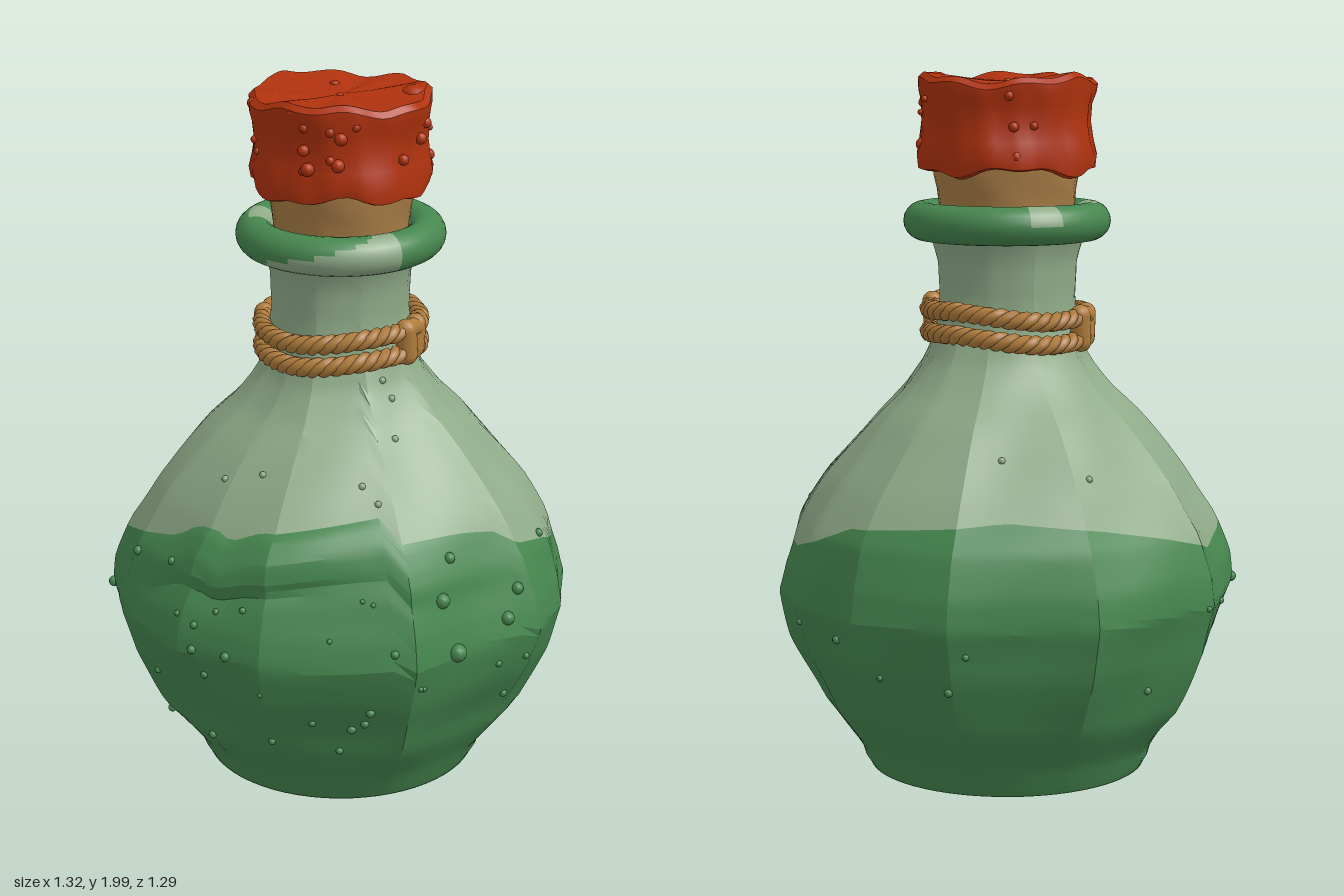
import * as THREE from 'three';
import { mergeGeometries, toCreasedNormals } from 'three/addons/utils/BufferGeometryUtils.js';

const { sin, cos, PI } = Math;
const RAD = PI / 180;
const clamp = THREE.MathUtils.clamp;

function material(name, color, side = THREE.FrontSide) {
  const m = new THREE.MeshStandardMaterial({ color, side });
  m.name = name;
  return m;
}

// Linear lookup in a list of [key, value] pairs
function lookup(table, k) {
  let i = 1;
  while (i < table.length - 1 && table[i][0] < k) i++;
  const [k0, v0] = table[i - 1], [k1, v1] = table[i];
  return v0 + (v1 - v0) * clamp((k - k0) / (k1 - k0), 0, 1);
}

// Bottle silhouette: height, radius
const PROFILE = [[0, 0.395], [0.015, 0.412], [0.05, 0.418], [0.09, 0.445], [0.2, 0.535], [0.38, 0.62],
  [0.52, 0.662], [0.6, 0.648], [0.72, 0.605], [0.85, 0.525], [0.93, 0.46], [1.02, 0.38], [1.1, 0.295],
  [1.18, 0.235], [1.26, 0.205], [1.36, 0.194], [1.46, 0.198], [1.52, 0.215], [1.56, 0.235]];
// How strongly the faceted outline shows at each height
const FACET = [[0, 0], [0.08, 0.2], [0.25, 1], [0.95, 1], [1.25, 0.6], [1.5, 0.3], [1.56, 0]];
// Facet corners, degrees from the front towards +x
const CORNERS = [-63, -36, -13, 25, 64, 80, 100, 118, 142, 168, 204, 243.5, 279, 297];
// Liquid level around the bottle: degrees, height
const LEVEL = [[-63, 0.75], [-50, 0.78], [-42, 0.83], [-34, 0.84], [-28, 0.82], [-18, 0.86], [0, 0.88], [20, 0.9],
  [25, 0.84], [45, 0.83], [58, 0.81], [65, 0.76], [78, 0.73], [90, 0.68], [105, 0.66], [120, 0.7], [135, 0.76],
  [160, 0.78], [182, 0.8], [205, 0.78], [230, 0.73], [255, 0.66], [275, 0.68], [290, 0.73], [297, 0.75]];

const wrap = (d) => ((((d + 63) % 360) + 360) % 360) - 63;
const level = (d) => lookup(LEVEL, wrap(d));

function bodyRadius(deg, y) {
  const d = wrap(deg);
  let i = 1;
  while (i < CORNERS.length - 1 && CORNERS[i] < d) i++;
  const half = (CORNERS[i] - CORNERS[i - 1]) / 2, mid = CORNERS[i - 1] + half;
  const poly = cos(half * RAD) / cos((d - mid) * RAD);
  const k = lookup(FACET, y), a = d * RAD;
  const dents = 0.008 * k * (sin(3 * a + 9 * y) * cos(2 * a - 7 * y) + 0.6 * sin(7 * a - 13 * y + 1));
  let r = lookup(PROFILE, y) * (1 + (poly - 1) * k) + dents;
  // Liquid swells into a crest with a groove under it, across the front
  const below = level(d) - y;
  if (below > 0) {
    const front = Math.exp(-(((d + 15) / 34) ** 2));
    r += front * lookup([[0, 0], [0.015, 0.02], [0.07, 0.034], [0.12, 0.015], [0.15, -0.012], [0.19, 0]], below);
  }
  return r;
}

function surfacePoint(deg, y, lift = 0) {
  const r = bodyRadius(deg, y) + lift;
  return [r * sin(deg * RAD), y, r * cos(deg * RAD)];
}

// Closed skin around the y axis between two heights given per angle
function skin(rows, heightAt, crease) {
  const cols = [], pos = [], idx = [], sub = 7;
  for (let i = 1; i < CORNERS.length; i++)
    for (let s = 0; s < sub; s++) cols.push(CORNERS[i - 1] + ((CORNERS[i] - CORNERS[i - 1]) * s) / sub);
  const n = cols.length;
  for (let j = 0; j <= rows; j++) for (const d of cols) pos.push(...surfacePoint(d, heightAt(d, j / rows)));
  for (let j = 0; j < rows; j++)
    for (let i = 0; i < n; i++) {
      const a = j * n + i, b = j * n + ((i + 1) % n);
      idx.push(a, b, a + n, b, b + n, a + n);
    }
  const g = new THREE.BufferGeometry();
  g.setAttribute('position', new THREE.Float32BufferAttribute(pos, 3));
  g.setIndex(idx);
  return toCreasedNormals(g, crease);
}

// Lathe whose points are moved by a rule
function lumpyLathe(points, segments, rule, crease) {
  const g = new THREE.LatheGeometry(points.map((p) => new THREE.Vector2(...p)), segments);
  const p = g.attributes.position;
  for (let i = 0; i < p.count; i++) {
    const x = p.getX(i), y = p.getY(i), z = p.getZ(i);
    const [s, dy] = rule(Math.atan2(x, z), y, Math.hypot(x, z));
    p.setXYZ(i, x * s, y + dy, z * s);
  }
  return toCreasedNormals(g, crease);
}

const ball = (p, r, flat = 1) => new THREE.SphereGeometry(r, 10, 7).scale(1, flat, 1).translate(...p);

export function createModel() {
  const model = new THREE.Group();
  const glass = material('pale glass', 0x8fab88, THREE.DoubleSide);
  const liquid = material('green liquid', 0x46874f, THREE.DoubleSide);
  const wax = material('red wax', 0xb0320e);
  const cork = material('cork', 0xa87d46);
  const rope = material('rope', 0xb07c3c);
  const add = (name, geo, mat, parent = model) => {
    const m = new THREE.Mesh(geo, mat);
    m.name = name;
    parent.add(m);
    return m;
  };
  let seed = 11;
  const rand = () => (seed = (seed * 16807) % 2147483647) / 2147483647;

  // Bottle: liquid below the wavy level, clear glass above
  add('liquidBody', skin(34, (d, u) => level(d) * (1 - (1 - u) ** 1.5), 0.3), liquid);
  add('glassBody', skin(26, (d, u) => level(d) + (1.56 - level(d)) * u, 0.3), glass);
  add('base', new THREE.CircleGeometry(0.398, 64).rotateX(PI / 2).translate(0, 0.001, 0), liquid);

  // Lip ring with pale patches
  const lip = new THREE.TorusGeometry(0.24, 0.054, 20, 96).rotateX(PI / 2).translate(0, 1.572, 0);
  const lp = lip.attributes.position, src = lip.index.array, parts = [[], []];
  for (let i = 0; i < src.length; i += 6) {
    let x = 0, y = 0, z = 0;
    for (let k = 0; k < 6; k++) {
      x += lp.getX(src[i + k]) / 6; y += lp.getY(src[i + k]) / 6; z += lp.getZ(src[i + k]) / 6;
    }
    const d = Math.atan2(x, z) / RAD;
    const front = d > -42 && d < 42 && y < 1.585 + 0.0012 * (d + 5) && Math.hypot(x, z) > 0.21;
    const back = d > -165 && d < -148 && y > 1.58;
    const side = d > -100 && d < -75 && y > 1.59 && Math.hypot(x, z) < 0.255;
    parts[front || back || side ? 1 : 0].push(...src.slice(i, i + 6));
  }
  lip.setIndex([...parts[0], ...parts[1]]);
  lip.clearGroups();
  lip.addGroup(0, parts[0].length, 0);
  lip.addGroup(parts[0].length, parts[1].length, 1);
  add('lip', lip, [liquid, glass]);

  // Cork
  add('cork', lumpyLathe([[0.185, 1.5], [0.19, 1.6], [0.197, 1.66], [0.205, 1.7], [0.208, 1.78]], 40,
    (a, y) => [1 + 0.012 * sin(5 * a + 30 * y) + 0.008 * sin(11 * a - 50 * y), 0], 0.8), cork);

  // Wax cap: drooping skirt, pinched waist, uneven top
  const waxRule = (a, y, r) => {
    const low = clamp((1.8 - y) / 0.1, 0, 1), high = clamp((y - 1.9) / 0.06, 0, 1);
    const lump = 0.016 * sin(5 * a + 14 * y) + 0.012 * sin(9 * a - 20 * y) + 0.008 * sin(17 * a + 8 * y);
    const dy = low * (0.014 * sin(4 * a + 1) + 0.008 * sin(9 * a)) +
      high * (r / 0.25) * (0.01 * sin(3 * a + 2) + 0.007 * sin(8 * a));
    return [1 + lump, dy];
  };
  const cap = new THREE.Group();
  cap.name = 'waxCap';
  model.add(cap);
  add('waxSeal', lumpyLathe([[0.2, 1.74], [0.23, 1.715], [0.249, 1.72], [0.254, 1.755], [0.244, 1.8], [0.237, 1.85],
    [0.241, 1.9], [0.25, 1.935], [0.251, 1.96], [0.235, 1.975], [0.19, 1.972], [0.1, 1.965], [0, 1.963]], 64, waxRule, 0.7), wax, cap);
  const drops = [[0.2, 1.965, -0.02, 0.04], [0.17, 1.965, -0.06, 0.024], [-0.03, 1.965, -0.11, 0.015],
    [-0.17, 1.967, -0.12, 0.013], [0, 1.965, 0.02, 0.01], [-0.08, 1.965, 0.16, 0.022]]
    .map(([x, y, z, r]) => ball([x, y, z], r, 0.6));
  for (let i = 0; i < 24; i++) {
    const a = rand() * 2 * PI, y = 1.74 + rand() * 0.22;
    drops.push(ball([0.243 * sin(a), y, 0.243 * cos(a)], 0.009 + rand() * 0.011));
  }
  add('waxDrops', mergeGeometries(drops), wax, cap);

  // Twisted rope: two loops of three strands
  class Strand extends THREE.Curve {
    constructor(y, tilt, phase) { super(); Object.assign(this, { y, tilt, phase }); }
    getPoint(t, target = new THREE.Vector3()) {
      const a = t * 2 * PI, w = a * 14 + this.phase, r = 0.222 + 0.013 * cos(w);
      return target.set(r * sin(a), this.y + this.tilt * sin(a) + 0.006 * sin(3 * a) + 0.013 * sin(w), r * cos(a));
    }
  }
  const cord = new THREE.Group();
  cord.name = 'neckRope';
  model.add(cord);
  for (const [name, y, tilt] of [['upperLoop', 1.315, 0.012], ['lowerLoop', 1.25, 0.012]]) {
    const strands = [0, 1, 2].map((k) =>
      new THREE.TubeGeometry(new Strand(y, tilt, (k * 2 * PI) / 3), 260, 0.0155, 6, true));
    add(name, mergeGeometries(strands), rope, cord);
  }

  // Knots on both sides
  const knotParts = [[-0.026, 0, 0.012, 0.03, 0.075, 0.1], [0.024, 0.004, 0.01, 0.029, 0.07, -0.12],
    [0, 0.036, 0.014, 0.026, 0.045, 1.45], [0.004, -0.038, 0.01, 0.025, 0.04, 1.7]];
  for (const [name, deg, y] of [['leftKnot', 66, 1.295], ['rightKnot', 253, 1.275]]) {
    const g = mergeGeometries(knotParts.map(([x, py, z, r, len, turn]) =>
      new THREE.CapsuleGeometry(r, len, 5, 12).rotateZ(turn).translate(x, py, z)));
    const knot = add(name, g, rope, cord);
    knot.position.set(0.216 * sin(deg * RAD), y, 0.216 * cos(deg * RAD));
    knot.rotation.y = deg * RAD;
  }

  // Bubbles on the surface, mostly at the front
  const spots = [[38, 0.53, 0.026], [35, 0.68, 0.022], [55, 0.58, 0.02], [40, 0.78, 0.016], [-32, 0.53, 0.013],
    [-32, 0.6, 0.011], [-80, 0.52, 0.016], [60, 0.65, 0.018], [20, 0.57, 0.012], [-62, 0.7, 0.014]];
  for (let i = 0; i < 26; i++) spots.push([-70 + rand() * 150, 0.15 + rand() * 0.6, 0.006 + rand() * 0.008]);
  for (let i = 0; i < 8; i++) spots.push([100 + rand() * 170, 0.3 + rand() * 0.3, 0.007 + rand() * 0.006]);
  add('liquidBubbles', mergeGeometries(spots.map(([d, y, r]) => ball(surfacePoint(d, y), r))), liquid);
  const clear = [[180, 0.95], [35, 1.06], [42, 1.15], [38, 1.2], [-40, 0.95], [-25, 0.98], [15, 0.97], [20, 0.93], [210, 0.9]];
  add('glassBubbles', mergeGeometries(clear.map(([d, y]) => ball(surfacePoint(d, y), 0.01))), glass);

  return model;
}
